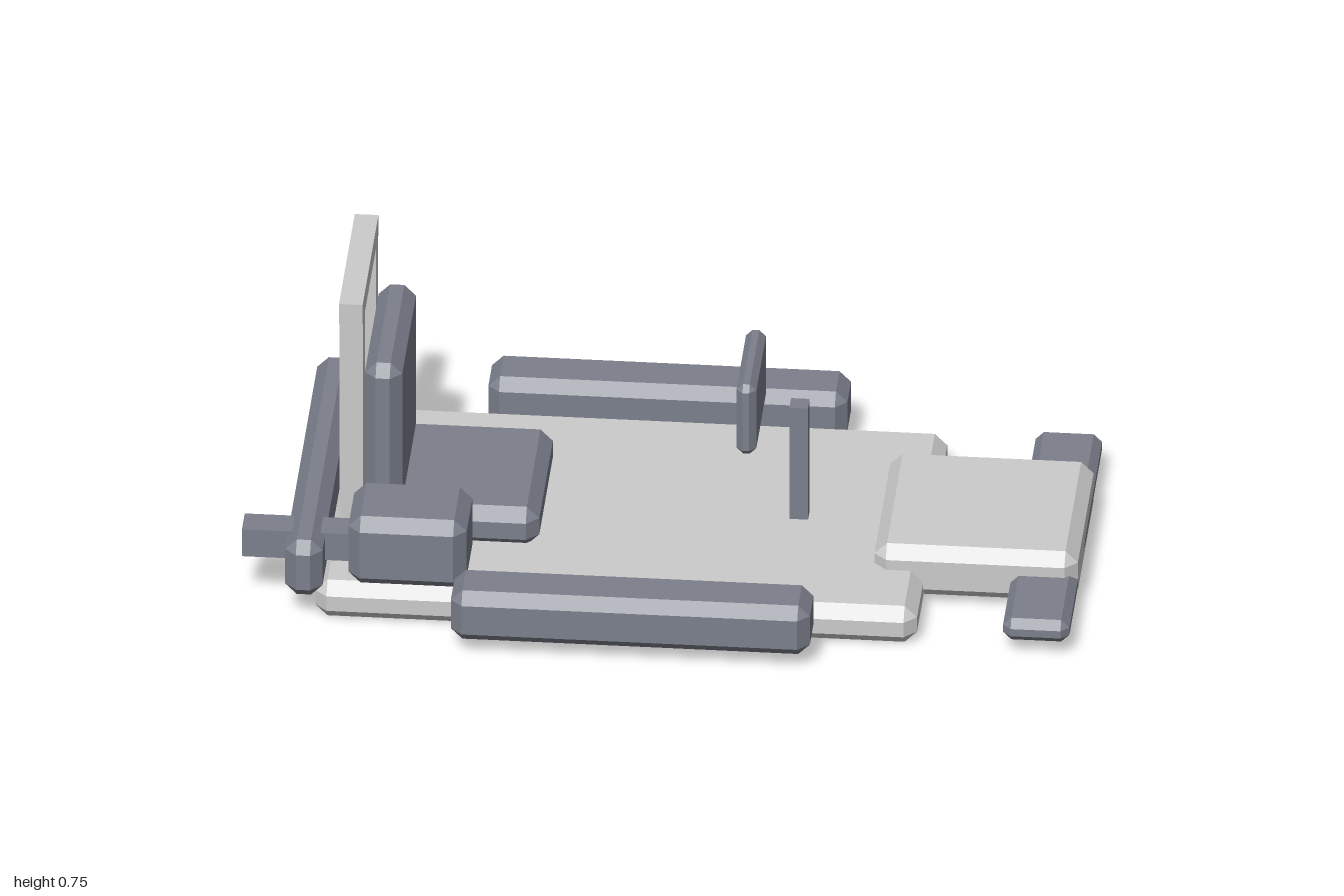
import * as THREE from 'three';
import { ConvexGeometry } from 'three/addons/geometries/ConvexGeometry.js';

const light = new THREE.MeshStandardMaterial({ color: 0xcccccc, flatShading: true });
const dark = new THREE.MeshStandardMaterial({ color: 0x7c808c, flatShading: true });

// Box with every edge and corner cut by c
function chamferBox(w, h, d, c) {
  const points = [];
  for (const sx of [-1, 1]) for (const sy of [-1, 1]) for (const sz of [-1, 1]) {
    for (let axis = 0; axis < 3; axis++) {
      const inset = [c, c, c];
      inset[axis] = 0;
      points.push(new THREE.Vector3(
        sx * (w / 2 - inset[0]), sy * (h / 2 - inset[1]), sz * (d / 2 - inset[2])));
    }
  }
  return new ConvexGeometry(points);
}

// Block given by its [min, max] on each axis
function block(name, x, y, z, material, chamfer = 0) {
  const size = [x, y, z].map(([a, b]) => b - a);
  const geometry = chamfer ? chamferBox(...size, chamfer) : new THREE.BoxGeometry(...size);
  const mesh = new THREE.Mesh(geometry, material);
  mesh.name = name;
  mesh.position.set((x[0] + x[1]) / 2, (y[0] + y[1]) / 2, (z[0] + z[1]) / 2);
  return mesh;
}

export function createModel() {
  const kart = new THREE.Group();
  kart.name = 'kart';

  // Floor, nose and bumpers
  kart.add(
    block('floorPan', [-0.82, 0.63], [0, 0.10], [-0.435, 0.435], light, 0.03),
    block('nose', [0.51, 1.0], [0.02, 0.157], [-0.24, 0.24], light, 0.03),
    block('frontBumper', [0.84, 1.0], [0.04, 0.10], [-0.457, 0.457], dark, 0.02),
    block('rearBumper', [-0.89, -0.80], [0.07, 0.222], [-0.457, 0.457], dark, 0.028));

  // Seat
  const seat = new THREE.Group();
  seat.name = 'seat';
  seat.add(
    block('seatCushion', [-0.69, -0.30], [0.09, 0.195], [-0.212, 0.212], dark, 0.03),
    block('seatBack', [-0.72, -0.63], [0.14, 0.58], [-0.212, 0.212], dark, 0.028));
  kart.add(seat);

  // Roll hoop behind the seat
  const hoop = new THREE.Group();
  hoop.name = 'rollHoop';
  hoop.add(block('hoopBar', [-0.78, -0.723], [0.70, 0.755], [-0.212, 0.212], light));
  kart.add(hoop);

  // Side pods and hoop posts, mirrored
  for (const s of [-1, 1]) {
    const span = (a, b) => (s > 0 ? [a, b] : [-b, -a]);
    kart.add(block('sidePod', [-0.48, 0.385], [0.04, 0.175], span(0.428, 0.58), dark, 0.028));
    hoop.add(block('hoopPost', [-0.78, -0.723], [0.12, 0.70], span(0.147, 0.204), light));
  }

  // Engine with exhaust
  kart.add(
    block('engine', [-0.74, -0.455], [0.095, 0.282], [0.22, 0.435], dark, 0.03),
    block('exhaust', [-1.0, -0.70], [0.13, 0.205], [0.29, 0.365], dark));

  // Steering
  kart.add(
    block('steeringWheel', [0.17, 0.218], [0.34, 0.533], [-0.144, 0.144], dark, 0.016),
    block('steeringColumn', [0.288, 0.333], [0.09, 0.41], [-0.023, 0.023], dark));

  return kart;
}
